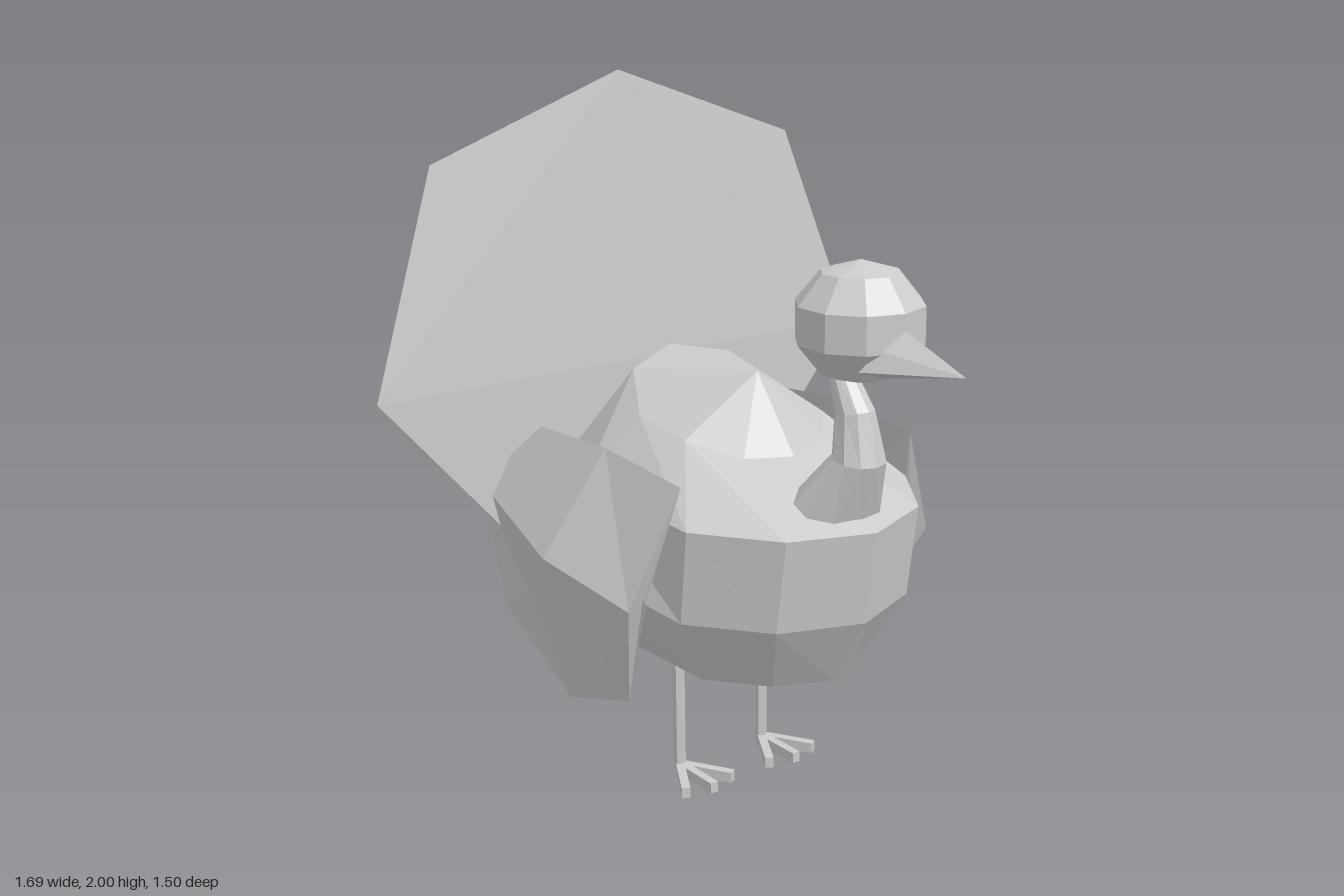
import * as THREE from 'three';

const grey = new THREE.MeshStandardMaterial({ color: 0xcccccc, flatShading: true, side: THREE.DoubleSide });

// Skin over rings of [x,y,z]; a ring with one point is a pole.
// Rings run counter-clockwise as seen from the first ring's end.
function loft(rings) {
  const n = Math.max(...rings.map(r => r.length));
  const at = (r, i) => r[i % r.length];
  const pos = [];
  for (let k = 0; k + 1 < rings.length; k++) {
    const a = rings[k], b = rings[k + 1];
    for (let i = 0; i < n; i++) {
      if (b.length > 1) pos.push(...at(a, i), ...at(b, i), ...at(b, i + 1));
      if (a.length > 1) pos.push(...at(a, i), ...at(b, i + 1), ...at(a, i + 1));
    }
  }
  const g = new THREE.BufferGeometry();
  g.setAttribute('position', new THREE.Float32BufferAttribute(pos, 3));
  g.computeVertexNormals();
  return g;
}

function part(name, geometry, parent) {
  const m = new THREE.Mesh(geometry, grey);
  m.name = name;
  parent.add(m);
  return m;
}

// Front-to-back half ring, completed by mirroring
const mirrorRing = half => [
  ...half,
  ...half.slice(1, -1).reverse().map(([x, y, z]) => [-x, y, z]),
];

const middle = ring => [0, 1, 2].map(i => ring.reduce((s, p) => s + p[i], 0) / ring.length);

export function createModel() {
  const model = new THREE.Group();
  model.name = 'bird';

  // Body: ten-sided, back raised toward the tail
  part('body', loft([
    [[0, 1.235, -0.06]],
    mirrorRing([[0, 1.03, 0.1], [0.14, 1.04, 0.06], [0.24, 1.08, -0.07], [0.255, 1.11, -0.26], [0.17, 1.2, -0.41], [0, 1.235, -0.47]]),
    mirrorRing([[0, 0.905, 0.44], [0.23, 0.905, 0.35], [0.385, 0.905, 0.13], [0.41, 0.93, -0.32], [0.28, 0.96, -0.56], [0, 0.95, -0.65]]),
    mirrorRing([[0, 0.64, 0.4], [0.23, 0.64, 0.31], [0.385, 0.64, 0.1], [0.455, 0.7, -0.28], [0.28, 0.7, -0.55], [0, 0.7, -0.65]]),
    mirrorRing([[0, 0.43, 0.27], [0.155, 0.43, 0.2], [0.275, 0.43, 0.04], [0.28, 0.43, -0.28], [0.17, 0.43, -0.45], [0, 0.43, -0.52]]),
    [[0, 0.355, -0.1]],
  ]), model);

  // Neck: [y, z, x radius, z radius, backward rise]
  const neckRings = [
    [1.33, 0.28, 0.035, 0.035, 0],
    [1.21, 0.345, 0.052, 0.055, -0.01],
    [1.09, 0.365, 0.075, 0.07, 0.01],
    [0.94, 0.275, 0.14, 0.1, 0.03],
  ].map(([y, z, rx, rz, rise]) => Array.from({ length: 10 }, (_, i) => {
    const a = (i / 10) * Math.PI * 2;
    return [Math.sin(a) * rx, y - Math.cos(a) * rise, z + Math.cos(a) * rz];
  }));
  part('neck', loft(neckRings), model);

  // Head, turned so that a corner points forward
  const headShape = new THREE.SphereGeometry(0.178, 10, 5);
  headShape.rotateY(Math.PI / 2);
  const head = part('head', headShape, model);
  head.scale.y = 0.9;
  head.position.set(0, 1.45, 0.36);

  // Beak
  const beakRing = [[0, 1.46, 0.52], [-0.06, 1.41, 0.5], [-0.1, 1.355, 0.47], [0, 1.32, 0.45], [0.1, 1.355, 0.47], [0.06, 1.41, 0.5]];
  part('beak', loft([[[0, 1.38, 0.745]], beakRing, [middle(beakRing)]]), model);

  // Wings: stations from front to back, each top, inner, bottom, outer
  const stations = [
    [[0.4, 1.03, 0.13], [0.47, 0.71, 0.06], [0.42, 0.355, -0.1], [0.53, 0.7, 0.07]],
    [[0.41, 1.06, -0.2], [0.51, 0.76, -0.27], [0.45, 0.285, -0.36], [0.575, 0.76, -0.27]],
    [[0.39, 1.035, -0.56], [0.455, 0.84, -0.71], [0.46, 0.47, -0.68], [0.485, 0.84, -0.75]],
  ];
  const wingShape = loft([[middle(stations[0])], ...stations, [middle(stations[2])]]);
  part('leftWing', wingShape, model);
  part('rightWing', wingShape, model).scale.x = -1;

  // Tail fan: seven-sided sheet, bent back above its widest line
  const fan = [
    [0, 2, -0.705], [-0.62, 1.78, -0.705], [-0.845, 1.155, -0.655], [-0.31, 0.53, -0.655],
    [0.31, 0.53, -0.655], [0.845, 1.155, -0.655], [0.62, 1.78, -0.705],
  ];
  const fanShape = new THREE.BufferGeometry();
  const fanFaces = [[0, 1, 2], [0, 2, 5], [0, 5, 6], [2, 3, 4], [2, 4, 5]];
  fanShape.setAttribute('position', new THREE.Float32BufferAttribute(fanFaces.flat().flatMap(i => fan[i]), 3));
  fanShape.computeVertexNormals();
  part('tailFan', fanShape, model);

  // Legs with three forward toes each
  for (const side of [1, -1]) {
    const leg = new THREE.Group();
    leg.name = side > 0 ? 'leftLeg' : 'rightLeg';
    leg.position.set(side * 0.153, 0, -0.24);
    const shank = part('shank', new THREE.CylinderGeometry(0.018, 0.018, 0.45, 6), leg);
    shank.position.y = 0.225;
    for (const turn of [-0.52, 0, 0.52]) {
      const toeShape = new THREE.BoxGeometry(0.025, 0.032, 0.18);
      toeShape.translate(0, 0.016, 0.08);
      part('toe', toeShape, leg).rotation.y = turn;
    }
    model.add(leg);
  }
  return model;
}
